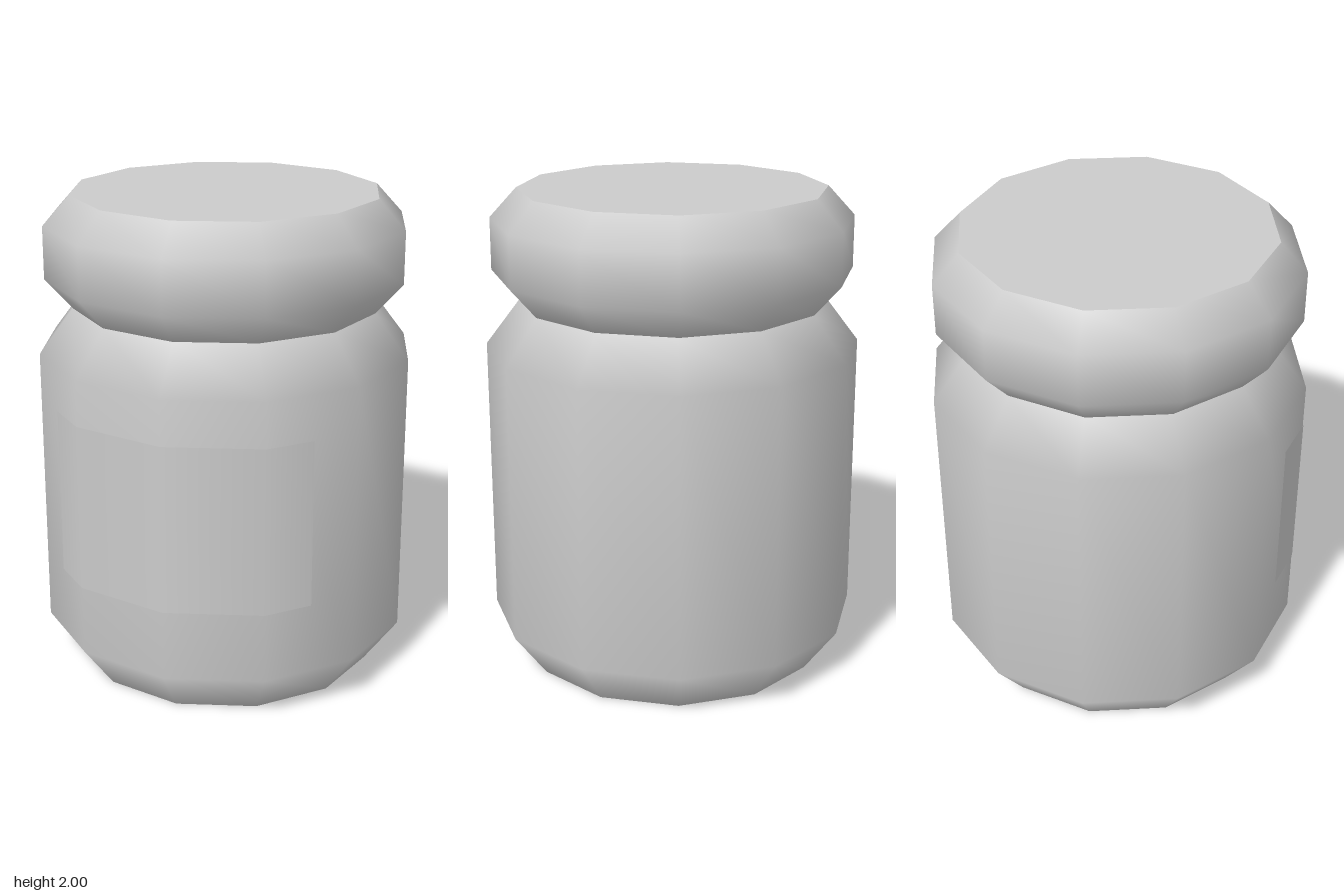
import * as THREE from 'three';

const SIDES = 12;
const material = new THREE.MeshStandardMaterial({ color: 0xcccccc });

function addMesh(parent, name, geometry) {
  const mesh = new THREE.Mesh(geometry, material);
  mesh.name = name;
  parent.add(mesh);
  return mesh;
}

// Twelve-sided smooth shell from a bottom-to-top [radius, height] profile
function shell(profile) {
  return new THREE.LatheGeometry(profile.map(([r, y]) => new THREE.Vector2(r, y)), SIDES);
}

// Flat twelve-sided disc facing up (dir = 1) or down (dir = -1)
function addDisc(parent, name, radius, y, dir) {
  const disc = addMesh(parent, name, new THREE.CircleGeometry(radius, SIDES));
  disc.rotation.x = -dir * Math.PI / 2;
  disc.position.y = y;
}

// Thin label hugging the front facets
function labelGeometry(bottom, top) {
  const section = [[-0.53, 0.524], [-0.385, 0.667], [0, 0.77], [0.385, 0.667], [0.53, 0.524]];
  const positions = [], normals = [], index = [];
  section.forEach(([x, z], i) => {
    const r = Math.hypot(x, z);
    for (const y of [bottom, top]) {
      positions.push(x * 1.003, y, z * 1.003);
      normals.push(x / r, 0, z / r);
    }
    if (i < section.length - 1) {
      const a = i * 2;
      index.push(a, a + 2, a + 1, a + 1, a + 2, a + 3);
    }
  });
  const geometry = new THREE.BufferGeometry();
  geometry.setAttribute('position', new THREE.Float32BufferAttribute(positions, 3));
  geometry.setAttribute('normal', new THREE.Float32BufferAttribute(normals, 3));
  geometry.setIndex(index);
  return geometry;
}

export function createModel() {
  const jar = new THREE.Group();
  jar.name = 'jar';

  // Body with bevelled foot and shoulder
  const body = new THREE.Group();
  body.name = 'body';
  addMesh(body, 'bodyWall', shell([[0.63, 0], [0.77, 0.19], [0.77, 1.355], [0.63, 1.54]]));
  addDisc(body, 'base', 0.63, 0, -1);
  addMesh(body, 'label', labelGeometry(0.48, 1.17));

  // Lid with bevelled rims
  const lid = new THREE.Group();
  lid.name = 'lid';
  addMesh(lid, 'lidWall', shell([[0.63, 1.54], [0.74, 1.665], [0.74, 1.88], [0.63, 2]]));
  addDisc(lid, 'lidTop', 0.63, 2, 1);

  jar.add(body, lid);
  return jar;
}
